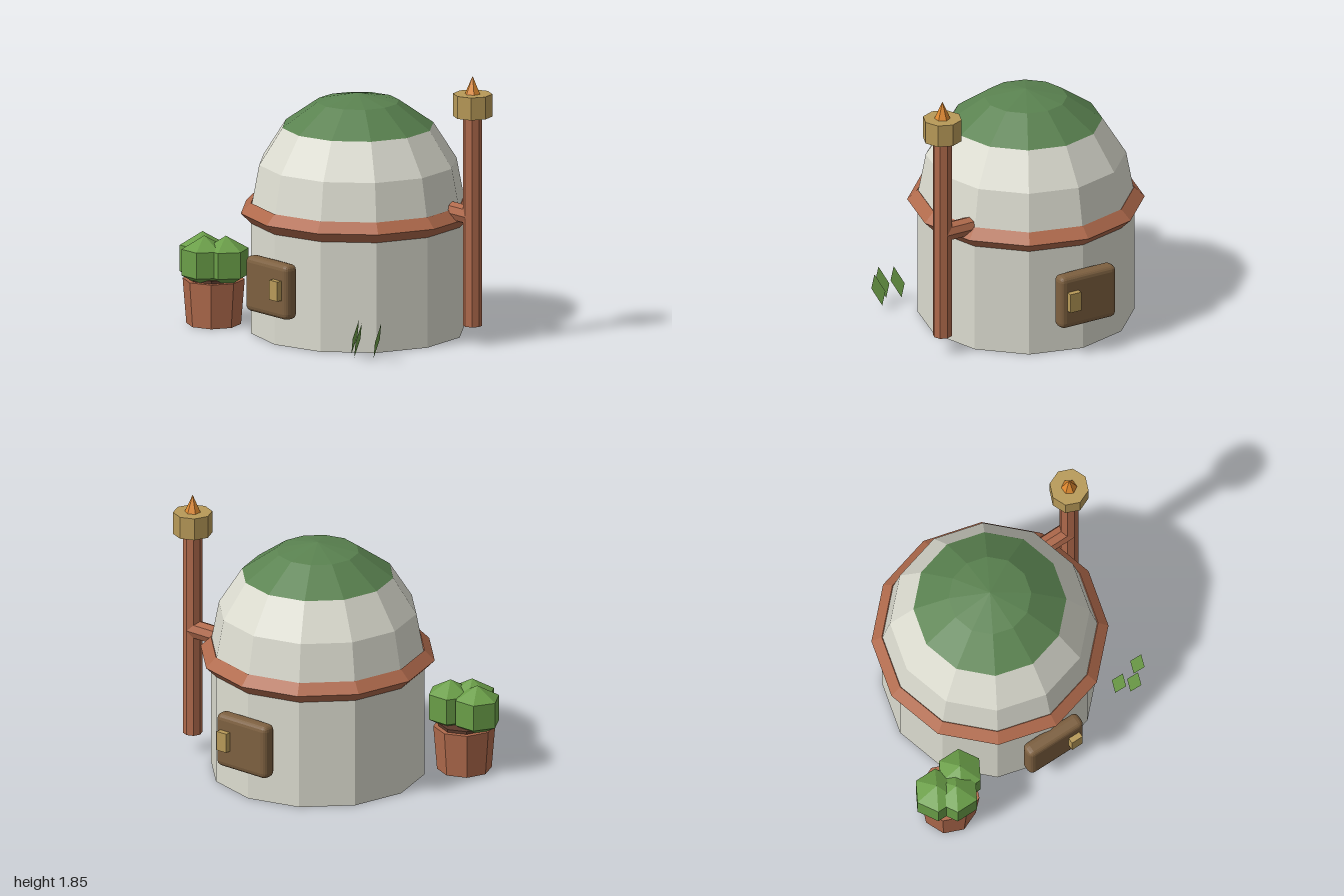
import * as THREE from 'three';
import { RoundedBoxGeometry } from 'three/addons/geometries/RoundedBoxGeometry.js';

const mat = (color, extra = {}) => new THREE.MeshStandardMaterial({ color, flatShading: true, ...extra });

export function createModel() {
  const model = new THREE.Group();
  model.name = 'domeHut';
  const plaster = mat(0xdcdcd0);
  const green = mat(0x5a8250);
  const clay = mat(0xb06a4c);
  const wood = mat(0x7d6040);
  const brass = mat(0xb89a58);
  const flameOrange = mat(0xe08a30);
  const soilBrown = mat(0x5c3a2c);
  const leaf = mat(0x6a9e48);
  const grass = mat(0x6fa04a, { side: THREE.DoubleSide });

  const add = (name, geometry, material, x = 0, y = 0, z = 0, parent = model) => {
    const mesh = new THREE.Mesh(geometry, material);
    mesh.name = name;
    mesh.position.set(x, y, z);
    parent.add(mesh);
    return mesh;
  };
  const cylinder = (top, bottom, height, sides) => new THREE.CylinderGeometry(top, bottom, height, sides);

  // Twelve-sided wall, dome and roof cap
  const cx = 0.02;
  const R = 0.73;
  add('wall', cylinder(R, R, 0.865, 12), plaster, cx, 0.4325, 0);
  const domePoint = (i) => {
    const a = (i * Math.PI) / 8;
    return new THREE.Vector2(i === 4 ? 0 : R * Math.cos(a), 0.77 * Math.sin(a));
  };
  const dome = (from, to) => {
    const points = [];
    for (let i = from; i <= to; i++) points.push(domePoint(i));
    return new THREE.LatheGeometry(points, 12);
  };
  add('dome', dome(0, 2), plaster, cx, 0.865, 0);
  add('roofCap', dome(2, 4), green, cx, 0.865, 0);

  // Diamond-section band around the eaves
  const band = new THREE.TorusGeometry(R, 0.07, 4, 12);
  band.rotateX(Math.PI / 2);
  add('eavesBand', band, clay, cx, 0.83, 0);

  // Matching front and back doors with handles
  for (const [label, side] of [['front', 1], ['back', -1]]) {
    const door = new THREE.Group();
    door.name = label + 'Door';
    model.add(door);
    add('panel', new RoundedBoxGeometry(0.44, 0.38, 0.11, 2, 0.04), wood, cx, 0.4, side * 0.76, door);
    add('handle', new THREE.BoxGeometry(0.085, 0.135, 0.1), brass, 0.152, 0.413, side * 0.805, door);
  }

  // Torch post with bracket, bowl and flame
  const torch = new THREE.Group();
  torch.name = 'torch';
  torch.position.set(0.866, 0, -0.3);
  model.add(torch);
  add('post', cylinder(0.065, 0.065, 1.445, 8), clay, 0, 0.8525, 0, torch);
  const bracket = cylinder(0.065, 0.065, 0.24, 8);
  bracket.rotateZ(Math.PI / 2);
  add('bracket', bracket, clay, -0.12, 0.885, 0, torch);
  add('bowl', cylinder(0.133, 0.133, 0.155, 8), brass, 0, 1.6525, 0, torch);
  add('flame', new THREE.ConeGeometry(0.055, 0.125, 6), flameOrange, 0, 1.79, 0, torch);

  // Potted shrub
  const plant = new THREE.Group();
  plant.name = 'pottedShrub';
  plant.position.set(-0.74, 0, 0.63);
  model.add(plant);
  add('pot', cylinder(0.21, 0.185, 0.31, 8), clay, 0, 0.155, 0, plant);
  add('soil', cylinder(0.175, 0.175, 0.04, 8), soilBrown, 0, 0.31, 0, plant);
  const clump = new THREE.SphereGeometry(0.18, 6, 3);
  for (const [x, z] of [[-0.105, 0.01], [0.104, -0.02], [0.003, 0.085]]) {
    add('leafClump', clump, leaf, x, 0.44, z, plant);
  }

  // Thin diamond grass blades leaning to one side
  const blade = new THREE.BufferGeometry();
  blade.setAttribute('position', new THREE.Float32BufferAttribute([
    -0.034, -0.125, 0.005, 0.028, 0, 0.045, 0.034, 0.125, -0.005, -0.028, 0, -0.045,
  ], 3));
  blade.setIndex([0, 2, 1, 0, 3, 2]);
  blade.computeVertexNormals();
  for (const [x, z] of [[0.68, 0.575], [0.77, 0.625], [0.86, 0.53]]) {
    add('grassBlade', blade, grass, x, 0.145, z);
  }

  return model;
}
